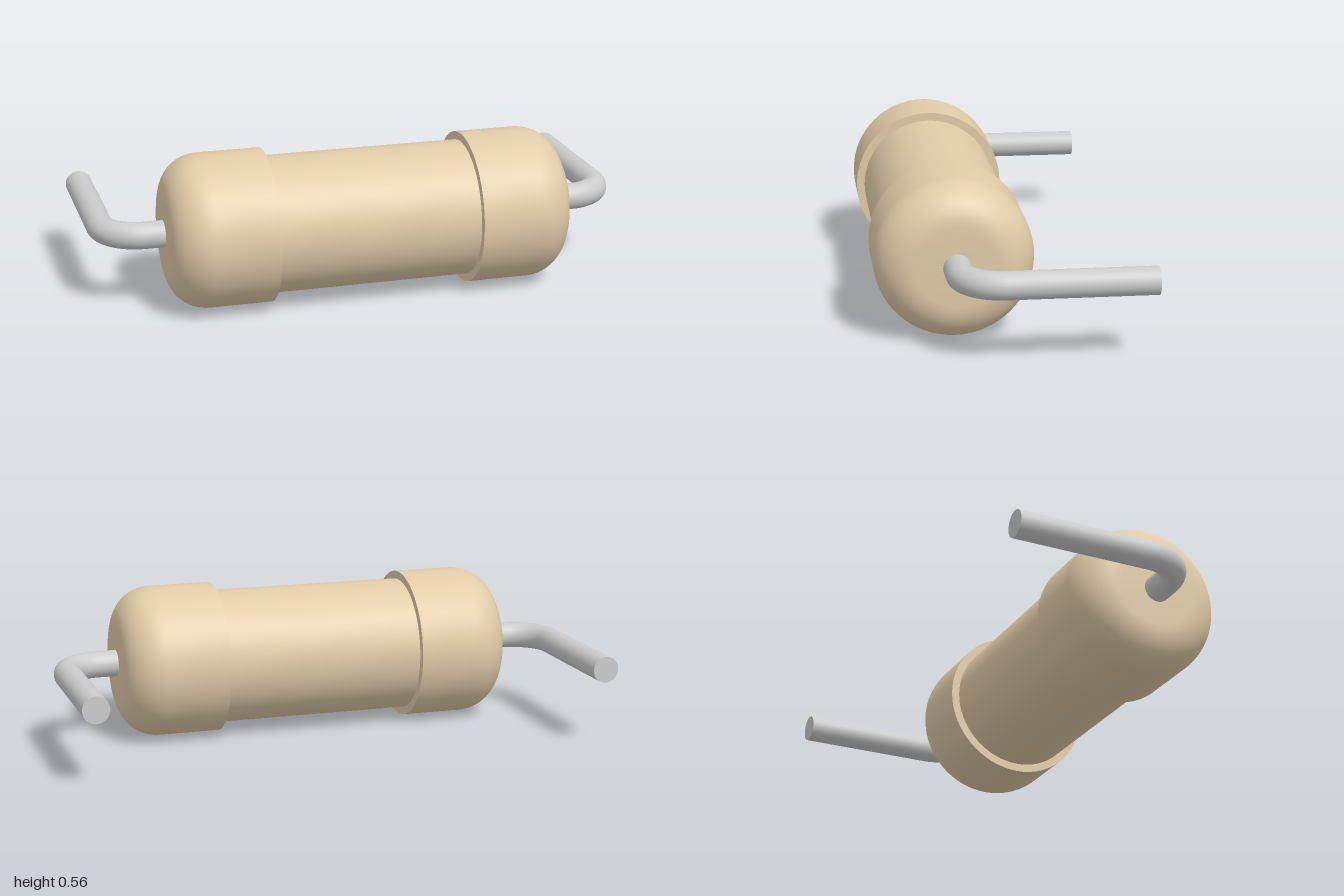
import * as THREE from 'three';
import { toCreasedNormals } from 'three/addons/utils/BufferGeometryUtils.js';

const BODY_R = 0.25, CAP_R = 0.28;        // sleeve and end cap radii
const CAP_IN = 0.373, CAP_OUT = 0.743;    // cap extent along the axis
const FILLET = 0.14;                      // rounding of the cap's end
const WIRE_R = 0.049, BEND_R = 0.141;     // lead wire
const BEND_X = 0.81, BEND_Z = -0.141;     // bend centre, relative to the axis
const WIRE_END = -0.653;

const ceramic = new THREE.MeshStandardMaterial({ color: 0xe1cba8 });
const metal = new THREE.MeshStandardMaterial({ color: 0xcccccc });

function addMesh(parent, name, geometry, material) {
  const mesh = new THREE.Mesh(geometry, material);
  mesh.name = name;
  parent.add(mesh);
  return mesh;
}

// End cap: a stepped collar with a rounded outer end, lying along +x
function capGeometry() {
  const points = [
    new THREE.Vector2(BODY_R - 0.01, CAP_IN),
    new THREE.Vector2(CAP_R, CAP_IN),
  ];
  for (let i = 0; i <= 12; i++) {
    const a = (i / 12) * Math.PI / 2;
    points.push(new THREE.Vector2(
      CAP_R - FILLET + FILLET * Math.cos(a),
      CAP_OUT - FILLET + FILLET * Math.sin(a)));
  }
  points.push(new THREE.Vector2(0, CAP_OUT));
  const lathe = new THREE.LatheGeometry(points, 64).rotateZ(-Math.PI / 2);
  return toCreasedNormals(lathe, 0.6);
}

// One end: cap plus a lead that leaves along x and turns to the back
function createEnd(name) {
  const end = new THREE.Group();
  end.name = name;
  addMesh(end, 'endCap', capGeometry(), ceramic);

  const lead = new THREE.Group();
  lead.name = 'lead';
  end.add(lead);

  const stubLength = BEND_X - 0.7;
  const stub = new THREE.CylinderGeometry(WIRE_R, WIRE_R, stubLength, 32, 1, true)
    .rotateZ(-Math.PI / 2);
  addMesh(lead, 'leadStub', stub, metal).position.x = BEND_X - stubLength / 2;

  const bend = new THREE.TorusGeometry(BEND_R, WIRE_R, 32, 20, Math.PI / 2)
    .rotateX(Math.PI / 2);
  addMesh(lead, 'leadBend', bend, metal).position.set(BEND_X, 0, BEND_Z);

  const legLength = BEND_Z - WIRE_END;
  const leg = new THREE.CylinderGeometry(WIRE_R, WIRE_R, legLength, 32)
    .rotateX(Math.PI / 2);
  addMesh(lead, 'leadLeg', leg, metal)
    .position.set(BEND_X + BEND_R, 0, (BEND_Z + WIRE_END) / 2);
  return end;
}

export function createModel() {
  const model = new THREE.Group();
  model.name = 'resistor';

  // Middle sleeve between the caps
  const sleeve = new THREE.CylinderGeometry(BODY_R, BODY_R, CAP_IN * 2 + 0.02, 64, 1, true)
    .rotateZ(Math.PI / 2);
  addMesh(model, 'bodySleeve', sleeve, ceramic);

  // Both ends; the half turn about z keeps the lead pointing back
  const leftEnd = createEnd('leftEnd');
  const rightEnd = createEnd('rightEnd');
  rightEnd.rotation.z = Math.PI;
  model.add(leftEnd, rightEnd);

  // Lift the axis so the caps rest on the ground
  model.children.forEach((part) => part.position.set(0, CAP_R, 0.186));
  return model;
}
